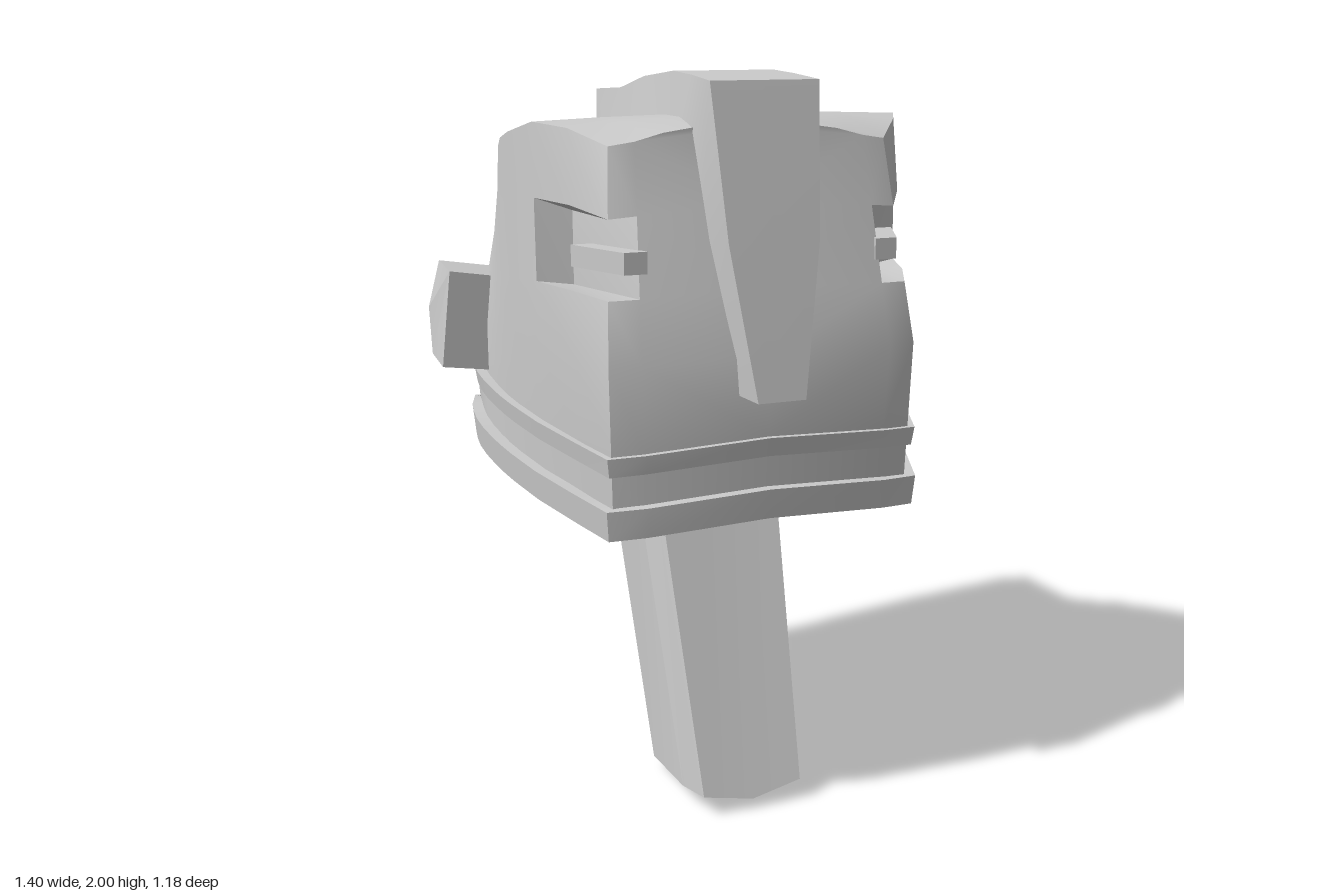
import * as THREE from 'three';
import { toCreasedNormals } from 'three/addons/utils/BufferGeometryUtils.js';

const material = new THREE.MeshStandardMaterial({ color: 0xcccccc, side: THREE.DoubleSide });

function makeMesh(name, tris, crease) {
  const geo = new THREE.BufferGeometry();
  geo.setAttribute('position', new THREE.Float32BufferAttribute(tris.flat(2), 3));
  const mesh = new THREE.Mesh(toCreasedNormals(geo, crease), material);
  mesh.name = name;
  return mesh;
}

// Adds a triangle unless it has no area
function addTri(tris, a, b, c) {
  const [p, q, r] = [a, b, c].map((v) => new THREE.Vector3(...v));
  if (q.sub(p).cross(r.sub(p)).length() > 1e-7) tris.push([a, b, c]);
}
function addQuad(tris, a, b, c, d) {
  addTri(tris, a, b, c);
  addTri(tris, a, c, d);
}

// Closed solid through rings of equal point count, turned to face outward
function loft(name, rings, crease) {
  const tris = [], n = rings[0].length;
  for (let i = 0; i < rings.length - 1; i++) {
    for (let j = 0; j < n; j++) {
      const k = (j + 1) % n;
      addQuad(tris, rings[i][j], rings[i][k], rings[i + 1][k], rings[i + 1][j]);
    }
  }
  const first = rings[0], last = rings[rings.length - 1];
  for (let j = 1; j < n - 1; j++) {
    addTri(tris, first[0], first[j + 1], first[j]);
    addTri(tris, last[0], last[j], last[j + 1]);
  }
  let volume = 0;
  for (const [a, b, c] of tris) {
    volume += new THREE.Vector3(...a).dot(new THREE.Vector3(...b).cross(new THREE.Vector3(...c)));
  }
  if (volume < 0) tris.forEach((t) => t.reverse());
  return makeMesh(name, tris, crease);
}

const mix = (a, b, t) => a.map((v, i) => v + (b[i] - v) * t);

// Half outline of the head, front centre round to back centre: [bottom, middle, top, roof height]
function headColumns() {
  const key = [
    [[0, 0.895, 0.5], [0, 1.31, 0.52], [0, 1.87, 0.38], 1.87],
    [[0.33, 0.88, 0.49], [0.34, 1.31, 0.51], [0.31, 1.84, 0.38], 1.87],
    [[0.41, 0.875, 0.48], [0.42, 1.31, 0.49], [0.375, 1.83, 0.37], 1.87],
    [[0.45, 0.89, 0.36], [0.47, 1.31, 0.36], [0.45, 1.87, 0.28], 1.89],
    [[0.505, 0.91, 0.2], [0.515, 1.31, 0.2], [0.51, 1.88, 0.17], 1.89],
    [[0.55, 0.935, 0], [0.555, 1.31, 0], [0.55, 1.83, 0], 1.87],
    [[0.575, 0.97, -0.15], [0.575, 1.31, -0.2], [0.5, 1.75, -0.16], 1.81],
    [[0.56, 1.0, -0.28], [0.565, 1.31, -0.385], [0.38, 1.69, -0.3], 1.77],
    [[0.17, 0.91, -0.43], [0.17, 1.31, -0.45], [0.15, 1.77, -0.43], 1.77],
    [[0, 0.91, -0.45], [0, 1.31, -0.47], [0, 1.77, -0.45], 1.77],
  ];
  // The flank is rounded, the rest keeps its corners
  const flank = key.slice(4, 8);
  const curves = [0, 1, 2].map((r) => new THREE.CatmullRomCurve3(flank.map((c) => new THREE.Vector3(...c[r]))));
  const smooth = [];
  for (let i = 0; i <= 9; i++) {
    const s = Math.floor(Math.min(i / 3, 2));
    const roof = flank[s][3] + (flank[s + 1][3] - flank[s][3]) * (i / 3 - s);
    smooth.push([...curves.map((c) => c.getPoint(i / 9).toArray()), roof]);
  }
  return [...key.slice(0, 4), ...smooth, ...key.slice(8)];
}

function buildHead(cols) {
  const half = [];
  const levels = [0, 0.5, 1, 1.3, 1.67, 2];
  const at = (c, t) => (t < 1 ? mix(c[0], c[1], t) : mix(c[1], c[2], t - 1));
  for (let i = 0; i < cols.length - 1; i++) {
    const a = cols[i], b = cols[i + 1];
    // Walls, leaving the eye notch open
    for (let r = 0; r < levels.length - 1; r++) {
      if (r === 3 && i >= 1 && i <= 3) continue;
      addQuad(half, at(a, levels[r]), at(b, levels[r]), at(b, levels[r + 1]), at(a, levels[r + 1]));
    }
    // Roof in three strips up to the centre line
    const roof = (c, f) => {
      const [x, y, z] = c[2], inner = Math.min(x, 0.16);
      if (f === 2) return [0, c[3], z];
      if (f === 1) return [inner, c[3], z];
      return f === 0 ? c[2] : [(x + inner) / 2, y + (c[3] - y) * 0.65, z];
    };
    [0, 0.5, 1].forEach((f, k) => {
      const g = [0.5, 1, 2][k];
      addQuad(half, roof(a, f), roof(b, f), roof(b, g), roof(a, g));
    });
    // Underside
    const under = (c) => [0, c[0][1] + 0.02, c[0][2]];
    addQuad(half, b[0], a[0], under(a), under(b));
  }
  // Recessed walls of the eye notch
  const low = [1, 2, 3, 4].map((i) => at(cols[i], 1.3));
  const high = [1, 2, 3, 4].map((i) => at(cols[i], 1.67));
  const lowIn = [0.42, 1.47, 0.21], highIn = [0.42, 1.66, 0.21];
  addQuad(half, low[0], lowIn, highIn, high[0]);
  addQuad(half, lowIn, low[3], high[3], highIn);
  for (let i = 0; i < 3; i++) {
    addTri(half, lowIn, low[i], low[i + 1]);
    addTri(half, highIn, high[i + 1], high[i]);
  }
  const mirrored = half.map((t) => t.map(([x, y, z]) => [-x, y, z]).reverse());
  return makeMesh('head', [...half, ...mirrored], 0.45);
}

// Raised strip following the lower rim of the head
function buildBand(name, cols, y0, y1, out) {
  const side = cols.map((c) => c[0]);
  const path = [...side.slice(1).reverse().map(([x, y, z]) => [-x, y, z]), ...side];
  const rings = path.map(([x, y, z], i) => {
    const p = path[Math.max(i - 1, 0)], q = path[Math.min(i + 1, path.length - 1)];
    const dx = q[0] - p[0], dz = q[2] - p[2], len = Math.hypot(dx, dz);
    const point = (d, h) => [x - (dz / len) * d, y + h, z + (dx / len) * d];
    return [point(-0.05, y0), point(out, y0), point(out + 0.008, y1), point(-0.05, y1)];
  });
  return loft(name, rings, 0.5);
}

export function createModel() {
  const model = new THREE.Group();
  const cols = headColumns();
  model.add(buildHead(cols));
  model.add(buildBand('lowerBand', cols, -0.01, 0.07, 0.025));
  model.add(buildBand('upperBand', cols, 0.155, 0.205, 0.018));

  // Crest from the brow over the roof and down the back to a flared foot:
  // outer z, y, inner z, y, outer half width, inner half width, ridge
  const crest = [
    [0.59, 1.21, 0.45, 1.22, 0.065, 0.1, 0],
    [0.53, 1.6, 0.41, 1.6, 0.122, 0.145, 0],
    [0.46, 1.985, 0.34, 1.8, 0.145, 0.165, 0],
    [0.32, 1.995, 0.26, 1.82, 0.14, 0.165, 0],
    [0.19, 2, 0.17, 1.82, 0.14, 0.165, 0],
    [-0.02, 1.98, -0.02, 1.8, 0.145, 0.18, 0],
    [-0.28, 1.94, -0.26, 1.72, 0.125, 0.16, 0],
    [-0.56, 1.925, -0.42, 1.72, 0.11, 0.16, 0.02],
    [-0.575, 1.4, -0.42, 1.4, 0.115, 0.165, 0.02],
    [-0.56, 0.9, -0.41, 1.02, 0.125, 0.175, 0.015],
    [-0.56, 0.87, -0.41, 0.99, 0.165, 0.2, 0.015],
    [-0.55, 0.78, -0.4, 0.92, 0.16, 0.2, 0.015],
  ].map(([oz, oy, iz, iy, ow, iw, ridge]) => [
    [-iw, iy, iz], [-ow, oy, oz], [0, oy, oz - ridge], [ow, oy, oz], [iw, iy, iz],
  ]);
  model.add(loft('crest', crest, 0.4));

  // Sloping collar where the upper band meets the back of the crest
  const collar = [[-0.4, 1.13], [-0.52, 1.03], [-0.52, 0.97], [-0.4, 1.07]];
  model.add(loft('backCollar', [-0.18, 0.18].map((x) => collar.map(([z, y]) => [x, y, z])), 0.2));

  // Leaning neck with a peaked back
  const foot = [
    [0, 0.03, 0.435], [0.145, 0.06, 0.43], [0.17, 0.05, 0.33], [0.178, 0.035, 0.11],
    [0, 0, 0.07], [-0.178, 0.035, 0.11], [-0.17, 0.05, 0.33], [-0.145, 0.06, 0.43],
  ];
  const neckTop = foot.map(([x, y, z]) => [x * 1.24, 0.98, z - 0.33 * (0.98 - y)]);
  model.add(loft('neck', [foot, neckTop], 0.25));

  for (const s of [1, -1]) {
    const label = s > 0 ? 'left' : 'right';
    // Ear block, lifted and tapered outward
    const ear = [[-0.135, 1.455], [-0.275, 1.465], [-0.3, 1.33], [-0.275, 1.2], [-0.135, 1.19]];
    const inner = ear.map(([z, y]) => [s * 0.48, y - 0.02, z]);
    const outer = ear.map(([z, y]) => [s * (y > 1.4 ? 0.67 : 0.7), y + 0.01, z]);
    model.add(loft(label + 'Ear', [inner, outer], 0.2));

    // Small bar inside the eye notch
    const bar = [[0.31, 0.47], [0.37, 0.47], [0.45, 0.29], [0.37, 0.29]];
    model.add(loft(label + 'EyeBar', [1.53, 1.585].map((y) => bar.map(([x, z]) => [s * x, y, z])), 0.2));
  }
  return model;
}
